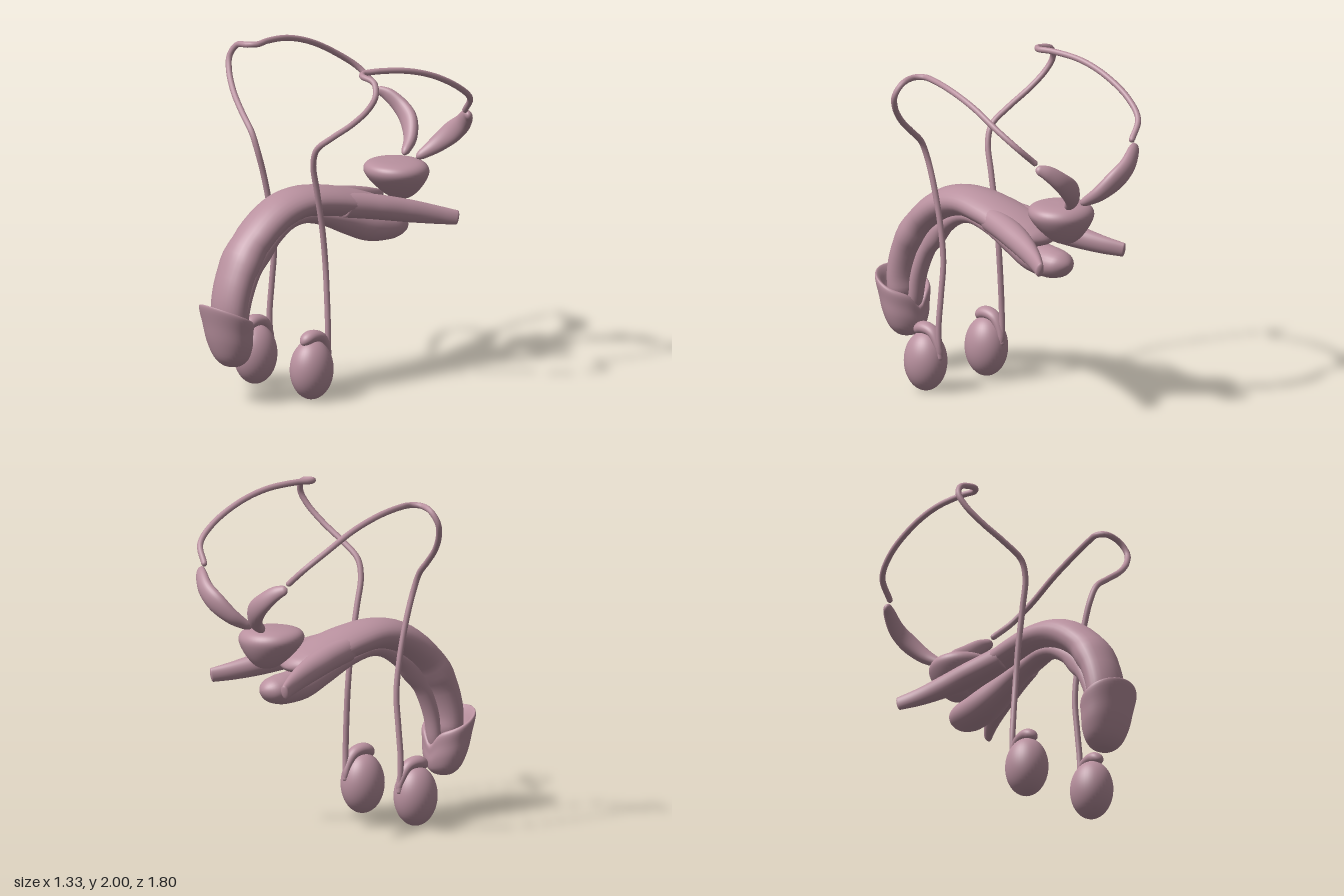
import * as THREE from 'three';
import { mergeVertices } from 'three/addons/utils/BufferGeometryUtils.js';

const material = new THREE.MeshStandardMaterial({ color: 0xb9919f });

// Elliptical sweep through stations [x, y, z, halfWidth, halfHeight];
// halfWidth lies along ref, and both ends are rounded over the fraction `end`.
function sweep(stations, { ref = [1, 0, 0], end = 0.06, rings = 56, sides = 28 } = {}) {
  const path = new THREE.CatmullRomCurve3(stations.map((s) => new THREE.Vector3(s[0], s[1], s[2])));
  const size = new THREE.CatmullRomCurve3(stations.map((s) => new THREE.Vector3(s[3], s[4], 0)));
  const refVector = new THREE.Vector3(...ref);
  const positions = [], index = [];
  for (let i = 0; i <= rings; i++) {
    const u = (1 - Math.cos((Math.PI * i) / rings)) / 2;
    const c = path.getPoint(u), r = size.getPoint(u), t = path.getTangent(u);
    const d = Math.min(1, Math.min(u, 1 - u) / end);
    const round = Math.sqrt(Math.max(0, 1 - (1 - d) ** 2));
    const side = refVector.clone().addScaledVector(t, -refVector.dot(t)).normalize();
    const up = t.clone().cross(side);
    for (let j = 0; j < sides; j++) {
      const a = (j / sides) * Math.PI * 2;
      const p = c.clone()
        .addScaledVector(side, r.x * round * Math.cos(a))
        .addScaledVector(up, r.y * round * Math.sin(a));
      positions.push(p.x, p.y, p.z);
      if (i < rings) {
        const k = (j + 1) % sides, a0 = i * sides, b0 = a0 + sides;
        index.push(a0 + j, a0 + k, b0 + j, a0 + k, b0 + k, b0 + j);
      }
    }
  }
  const g = new THREE.BufferGeometry();
  g.setAttribute('position', new THREE.Float32BufferAttribute(positions, 3));
  g.setIndex(index);
  g.computeVertexNormals();
  return g;
}

// Smooth lathe whose vertices are then moved by a rule
function shapedLathe(profile, rule) {
  const curve = new THREE.SplineCurve(profile.map((p) => new THREE.Vector2(...p)));
  const points = curve.getPoints(36);
  points.forEach((p) => { p.x = Math.max(0, p.x); });
  let g = new THREE.LatheGeometry(points, 48);
  const pos = g.attributes.position, v = new THREE.Vector3();
  for (let i = 0; i < pos.count; i++) {
    rule(v.fromBufferAttribute(pos, i));
    pos.setXYZ(i, v.x, v.y, v.z);
  }
  g.deleteAttribute('uv');
  g.deleteAttribute('normal');
  g = mergeVertices(g, 1e-5);
  g.computeVertexNormals();
  return g;
}

export function createModel() {
  const model = new THREE.Group();
  model.name = 'reproductiveAnatomy';
  const add = (name, geometry) => {
    const mesh = new THREE.Mesh(geometry, material);
    mesh.name = name;
    model.add(mesh);
    return mesh;
  };

  // Arched upper body
  add('cavernousBody', sweep([
    [0, 0.42, 0.72, 0.12, 0.085], [0, 0.6, 0.73, 0.13, 0.09], [0, 0.8, 0.665, 0.135, 0.095],
    [0, 0.97, 0.535, 0.135, 0.095], [0, 1.09, 0.36, 0.14, 0.095], [0, 1.13, 0.19, 0.15, 0.09],
    [0, 1.11, 0, 0.168, 0.09], [0, 1.065, -0.2, 0.18, 0.085], [0, 1.03, -0.36, 0.165, 0.065],
    [0, 1.0, -0.47, 0.1, 0.04],
  ]));

  // Lower column widening to a bulb at the back
  add('spongyBody', sweep([
    [0, 0.36, 0.66, 0.05, 0.04], [0, 0.6, 0.62, 0.055, 0.045], [0, 0.79, 0.535, 0.055, 0.05],
    [0, 0.93, 0.41, 0.055, 0.05], [0, 1.02, 0.27, 0.055, 0.045], [0, 1.04, 0.15, 0.06, 0.045],
    [0, 1.01, 0, 0.065, 0.05], [0, 0.95, -0.2, 0.085, 0.08], [0, 0.895, -0.38, 0.11, 0.095],
    [0, 0.88, -0.52, 0.11, 0.09], [0, 0.885, -0.65, 0.07, 0.055],
  ], { end: 0.05 }));

  // Cap with a sheared, hollow rim and a notch underneath
  add('glans', shapedLathe(
    [[0, 0.22], [0.06, 0.228], [0.115, 0.275], [0.15, 0.36], [0.165, 0.45], [0.178, 0.525],
      [0.168, 0.55], [0.14, 0.53], [0.1, 0.47], [0, 0.45]],
    (v) => {
      const h = (v.y - 0.22) / 0.31, z = v.z * 0.83;
      v.y += 0.45 * z * h;
      if (z < 0) v.y -= 0.07 * h * Math.exp(-((v.x / 0.05) ** 2)) * Math.min(1, -z / 0.1);
      v.z = 0.71 + 0.045 * h + z;
    }));

  // Flattened gland above the bulb
  add('prostate', shapedLathe(
    [[0, 1.02], [0.06, 1.03], [0.12, 1.075], [0.175, 1.14], [0.2, 1.195], [0.18, 1.237],
      [0.12, 1.257], [0, 1.263]],
    (v) => {
      const h = (v.y - 1.02) / 0.24;
      v.z = -0.57 - 0.05 * (1 - h) + v.z * 0.95;
    }));

  // Paired parts
  for (const s of [1, -1]) {
    const sideName = s > 0 ? 'left' : 'right';
    const mirror = (stations) => stations.map(([x, ...rest]) => [s * x, ...rest]);

    add(sideName + 'Crus', sweep(mirror([
      [0.09, 1.085, -0.08, 0.075, 0.075], [0.14, 1.045, -0.3, 0.08, 0.075],
      [0.21, 1.0, -0.5, 0.062, 0.068], [0.28, 0.965, -0.65, 0.04, 0.055],
      [0.35, 0.94, -0.765, 0.022, 0.042],
    ]), { ref: [s, 0, 0], end: 0.02 }));

    add(sideName + 'SeminalVesicle', sweep(mirror([
      [0.055, 1.26, -0.69, 0.022, 0.022], [0.11, 1.33, -0.79, 0.05, 0.038],
      [0.19, 1.415, -0.85, 0.066, 0.042], [0.27, 1.48, -0.86, 0.058, 0.038],
      [0.35, 1.545, -0.83, 0.045, 0.03], [0.41, 1.575, -0.79, 0.025, 0.018],
    ]), { ref: [s * 0.7, -0.7, 0] }));

    const testis = add(sideName + 'Testis', new THREE.SphereGeometry(1, 40, 28));
    testis.scale.set(0.123, 0.18, 0.135);
    testis.position.set(s * 0.25, 0.18, 0.305);

    add(sideName + 'Epididymis', sweep(mirror([
      [0.25, 0.345, 0.385, 0.035, 0.03], [0.255, 0.38, 0.32, 0.046, 0.038],
      [0.255, 0.365, 0.24, 0.04, 0.032], [0.255, 0.29, 0.19, 0.028, 0.022],
      [0.25, 0.21, 0.172, 0.016, 0.014],
    ]), { ref: [s, 0, 0], end: 0.15 }));

    // Long duct rising from the testis and looping back to the vesicle
    const duct = [
      [0.255, 0.22, 0.18], [0.26, 0.4, 0.185], [0.245, 0.6, 0.18], [0.228, 0.8, 0.178],
      [0.228, 1.0, 0.2], [0.235, 1.25, 0.25], [0.25, 1.42, 0.292], [0.29, 1.52, 0.3],
      [0.4, 1.61, 0.275], [0.53, 1.71, 0.23], [0.62, 1.81, 0.185], [0.65, 1.89, 0.155],
      [0.61, 1.96, 0.133], [0.51, 1.98, 0.135], [0.472, 1.983, 0.09], [0.49, 1.985, 0],
      [0.53, 1.962, -0.2], [0.545, 1.9, -0.4], [0.54, 1.795, -0.6], [0.495, 1.7, -0.725],
      [0.4, 1.605, -0.77],
    ].map(([x, y, z]) => new THREE.Vector3(s * x, y, z));
    const curve = new THREE.CatmullRomCurve3(duct);
    add(sideName + 'DuctusDeferens', new THREE.TubeGeometry(curve, 160, 0.018, 12));
    for (const [i, end] of [duct[0], duct[duct.length - 1]].entries()) {
      add(sideName + (i ? 'DuctUpperEnd' : 'DuctLowerEnd'), new THREE.SphereGeometry(0.018, 12, 8))
        .position.copy(end);
    }
  }
  return model;
}
